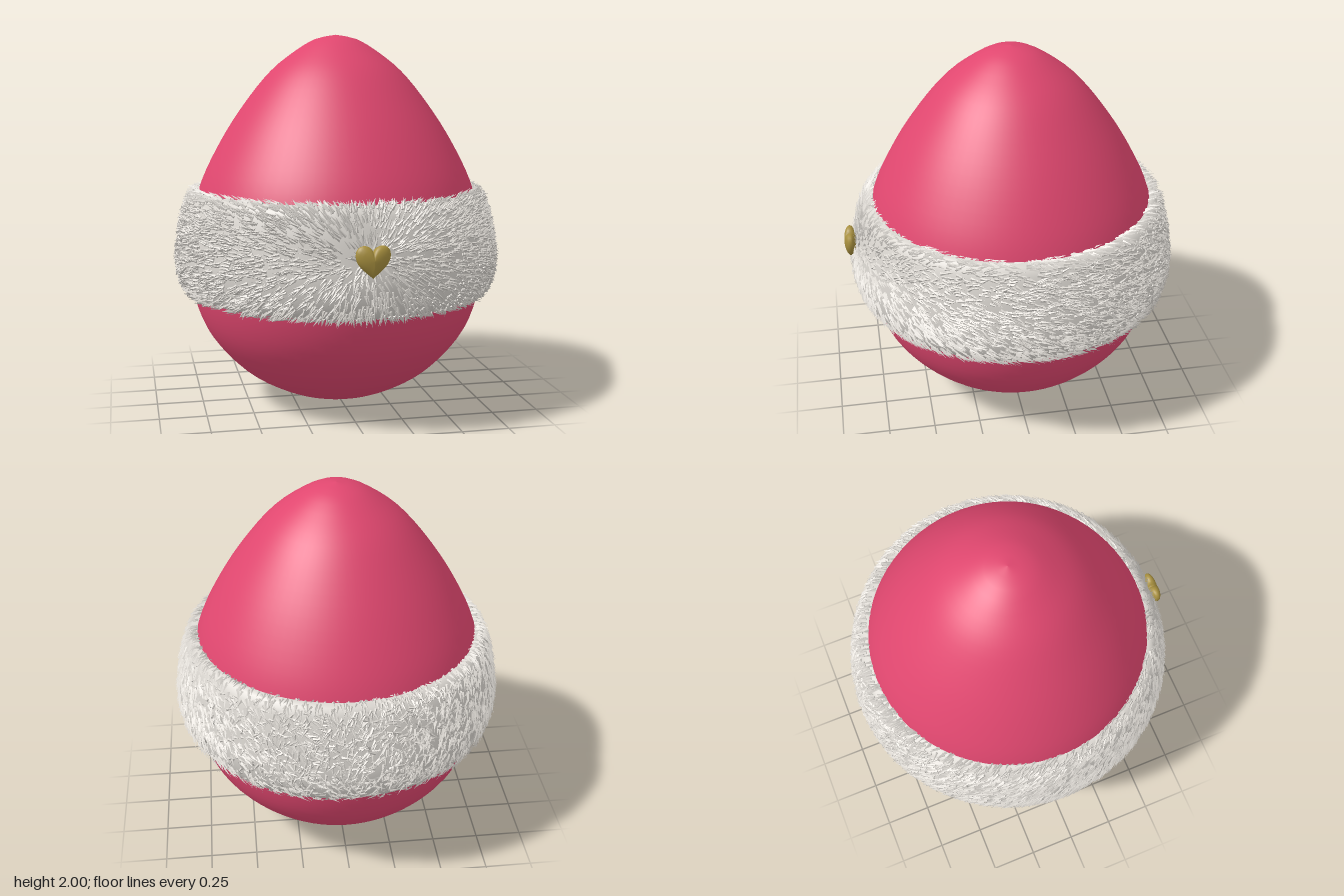
import * as THREE from 'three';

const CENTRE_Z = -0.01;

// Smooth profile of (radius, height) points
function smoothProfile(points) {
  return new THREE.CatmullRomCurve3(points.map(([r, y]) => new THREE.Vector3(r, y, 0)));
}

function latheFrom(curve, steps, segments) {
  const pts = curve.getSpacedPoints(steps).map(p => new THREE.Vector2(Math.max(p.x, 0), p.y));
  return new THREE.LatheGeometry(pts, segments);
}

function seeded(seed) {
  return () => {
    seed = (seed * 1664525 + 1013904223) % 4294967296;
    return seed / 4294967296;
  };
}

// Small leaning hair tufts over the band, combed away from the heart
function furGeometry(curve, count) {
  const rand = seeded(7);
  const heart = new THREE.Vector3(0, 0.92, 0.86);
  const positions = [];
  const push = (...vs) => vs.forEach(v => positions.push(v.x, v.y, v.z));
  for (let i = 0; i < count; i++) {
    const t = 0.04 + 0.92 * rand();
    const angle = rand() * Math.PI * 2;
    const q = curve.getPointAt(t), tan = curve.getTangentAt(t);
    const s = Math.sin(angle), c = Math.cos(angle);
    const p = new THREE.Vector3(q.x * s, q.y, q.x * c);
    const n = new THREE.Vector3(tan.y * s, -tan.x, tan.y * c).normalize();
    // flow direction, flattened onto the surface and slightly scattered
    const dir = p.clone().sub(heart);
    dir.y *= 1.5;
    dir.normalize();
    dir.x += (rand() - 0.5) * 0.7;
    dir.y += (rand() - 0.5) * 0.7;
    dir.z += (rand() - 0.5) * 0.7;
    dir.addScaledVector(n, -dir.dot(n)).normalize();
    const side = new THREE.Vector3().crossVectors(n, dir);
    const width = 0.006 + 0.004 * rand();
    const left = p.clone().addScaledVector(side, width);
    const right = p.clone().addScaledVector(side, -width);
    const ridge = p.clone().addScaledVector(n, 0.008);
    const tip = p.clone().addScaledVector(dir, 0.04 + 0.025 * rand())
      .addScaledVector(n, 0.012 + 0.012 * rand());
    push(left, ridge, tip, ridge, right, tip, left, right, ridge);
  }
  const geo = new THREE.BufferGeometry();
  geo.setAttribute('position', new THREE.Float32BufferAttribute(positions, 3));
  geo.computeVertexNormals();
  return geo;
}

// Puffy heart: rings of the outline shrink towards a domed front and back
function heartGeometry() {
  const shape = new THREE.Shape();
  shape.moveTo(0, -0.08);
  shape.bezierCurveTo(-0.03, -0.05, -0.086, -0.02, -0.086, 0.035);
  shape.bezierCurveTo(-0.086, 0.09, -0.02, 0.095, 0, 0.05);
  shape.bezierCurveTo(0.02, 0.095, 0.086, 0.09, 0.086, 0.035);
  shape.bezierCurveTo(0.086, -0.02, 0.03, -0.05, 0, -0.08);
  const outline = shape.getPoints(10).slice(0, -1);
  const rings = 10, n = outline.length;
  const positions = [], index = [];
  for (let r = 0; r <= rings; r++) {
    const a = (r / rings - 0.5) * Math.PI;
    const k = Math.cos(a);
    outline.forEach(p => positions.push(p.x * k, p.y * k + 0.01 * (1 - k), Math.sin(a) * 0.034));
  }
  for (let r = 0; r < rings; r++) {
    for (let j = 0; j < n; j++) {
      const a = r * n + j, b = r * n + (j + 1) % n;
      index.push(a, a + n, b, b, a + n, b + n);
    }
  }
  const geo = new THREE.BufferGeometry();
  geo.setAttribute('position', new THREE.Float32BufferAttribute(positions, 3));
  geo.setIndex(index);
  geo.computeVertexNormals();
  return geo;
}

export function createModel() {
  const pink = new THREE.MeshStandardMaterial({ color: 0xe0476f });
  pink.name = 'pink';
  const furGrey = new THREE.MeshStandardMaterial({ color: 0xdad6d0 });
  furGrey.name = 'furGrey';
  const gold = new THREE.MeshStandardMaterial({ color: 0xa8903f });
  gold.name = 'gold';

  const group = new THREE.Group();
  group.name = 'furTrimmedEgg';
  const add = (name, geometry, material, y, z) => {
    const mesh = new THREE.Mesh(geometry, material);
    mesh.name = name;
    mesh.position.set(0, y, z);
    group.add(mesh);
    return mesh;
  };

  // Egg body
  const egg = smoothProfile([
    [0, 0], [0.2, 0.025], [0.38, 0.095], [0.54, 0.2], [0.71, 0.4], [0.785, 0.6],
    [0.805, 0.8], [0.79, 1.0], [0.74, 1.2], [0.645, 1.4], [0.52, 1.6],
    [0.36, 1.8], [0.24, 1.9], [0.11, 1.978], [0, 2]
  ]);
  add('eggBody', latheFrom(egg, 48, 72), pink, 0, CENTRE_Z);

  // Fur band with its tufts
  const band = smoothProfile([
    [0.75, 0.63], [0.81, 0.625], [0.85, 0.68], [0.872, 0.8],
    [0.86, 0.92], [0.835, 1.05], [0.795, 1.15], [0.755, 1.175], [0.71, 1.165]
  ]);
  add('furBand', latheFrom(band, 28, 96), furGrey, 0, CENTRE_Z);
  add('furTufts', furGeometry(band, 8000), furGrey, 0, CENTRE_Z);

  // Heart charm on the front
  add('heartCharm', heartGeometry(), gold, 0.92, 0.873);

  return group;
}
